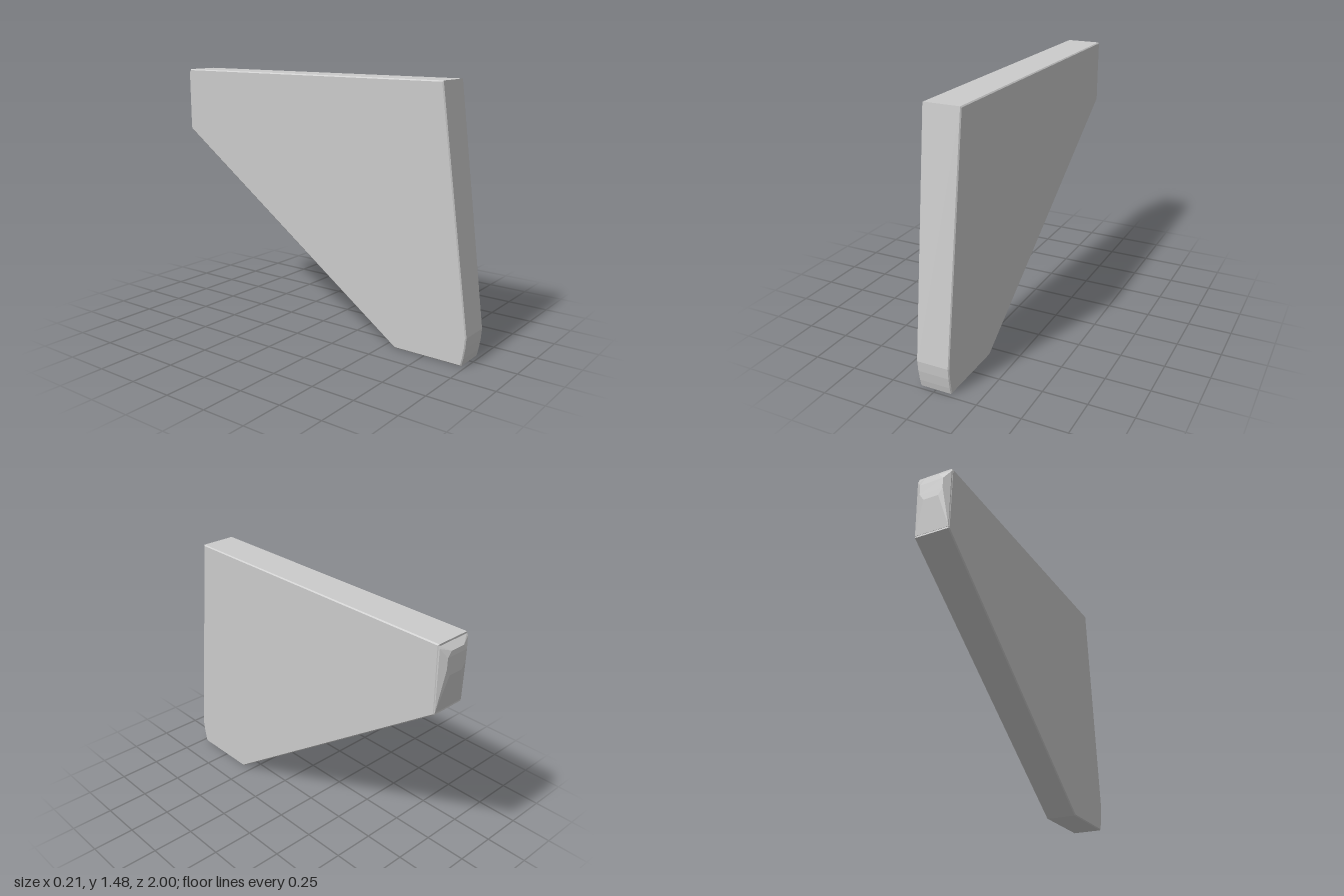
import * as THREE from 'three';
import { ConvexGeometry } from 'three/addons/geometries/ConvexGeometry.js';

const HEIGHT = 1.48;
const BEVEL = 0.006;

// Half thickness: slightly thinner toward the foot
const halfWidth = (y) => 0.094 + 0.013 * (y / HEIGHT);

export function createModel() {
  const group = new THREE.Group();
  group.name = 'fin';
  const material = new THREE.MeshStandardMaterial({ color: 0xcccccc, flatShading: true });

  // Side outline as (z, y)
  const outline = [
    [0.565, 0], [0.975, 0], [0.985, 0.04], [0.995, 0.1], [1, 0.16],
    [0.825, HEIGHT], [-0.968, HEIGHT], [-0.975, 1.105],
  ];
  const shape = new THREE.Shape(outline.map(([z, y]) => new THREE.Vector2(z, y)));
  const plate = new THREE.ExtrudeGeometry(shape, {
    depth: 2 - 2 * BEVEL,
    bevelThickness: BEVEL,
    bevelSize: BEVEL,
    bevelOffset: -BEVEL,
    bevelSegments: 1,
  });
  plate.translate(0, 0, -1 + BEVEL);
  plate.rotateY(-Math.PI / 2);

  // Squeeze to the tapering thickness, keeping the narrow bevel
  const pos = plate.attributes.position;
  for (let i = 0; i < pos.count; i++) {
    const x = pos.getX(i);
    const inset = 1 - Math.abs(x);
    pos.setX(i, Math.sign(x) * (halfWidth(pos.getY(i)) - inset));
  }
  plate.computeVertexNormals();
  const body = new THREE.Mesh(plate, material);
  body.name = 'body';
  group.add(body);

  // Faceted rear end: full-width rim narrowing to a small flat pad
  const half = [
    [0.104, 1.472, -0.966], [0.1, 1.112, -0.97], // rim
    [0.104, 1.46, -0.974], [0.1, 1.115, -0.976],
    [0.045, 1.44, -0.999], [0.07, 1.41, -1], [0.07, 1.35, -1], [0.045, 1.31, -1], // pad
  ];
  const points = half.flatMap(([x, y, z]) => [
    new THREE.Vector3(x, y, z),
    new THREE.Vector3(-x, y, z),
  ]);
  const end = new THREE.Mesh(new ConvexGeometry(points), material);
  end.name = 'rearEnd';
  group.add(end);

  return group;
}
